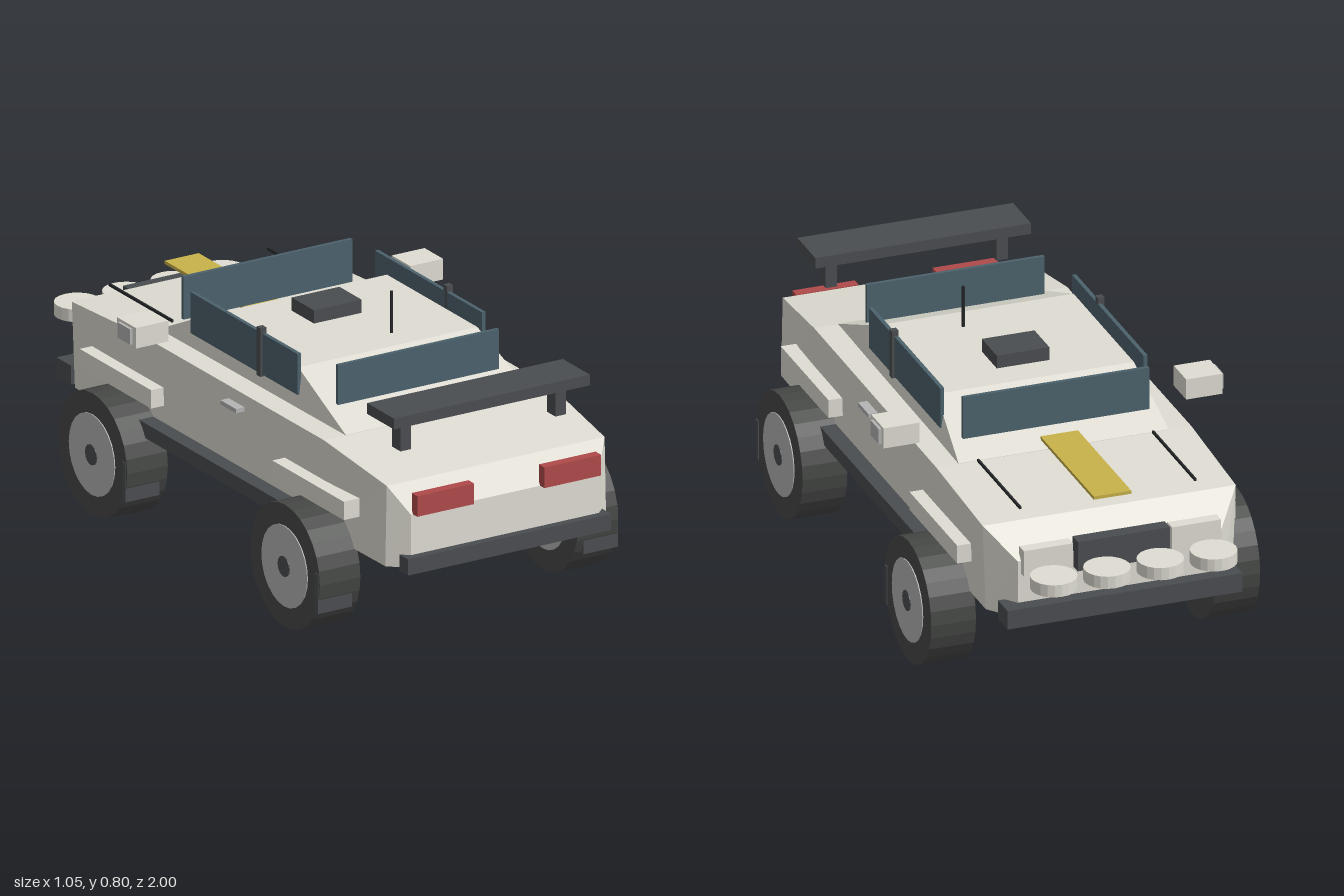
import * as THREE from 'three';

const mat = (color) => new THREE.MeshStandardMaterial({ color, flatShading: true });

export function createModel() {
  const car = new THREE.Group();
  car.name = 'rallyCar';
  const paint = mat(0xdedcd2), dark = mat(0x4a4d50), rubber = mat(0x454745), steel = mat(0xb4b4b4);
  const glass = mat(0x4c626c), red = mat(0xb04a4a), yellow = mat(0xc9b24a), black = mat(0x26282a);

  const add = (name, geometry, material, x = 0, y = 0, z = 0) => {
    const mesh = new THREE.Mesh(geometry, material);
    mesh.name = name;
    mesh.position.set(x, y, z);
    car.add(mesh);
    return mesh;
  };
  // Box given by its extents on each axis
  const box = (name, material, [x0, x1], [y0, y1], [z0, z1]) =>
    add(name, new THREE.BoxGeometry(x1 - x0, y1 - y0, z1 - z0), material,
      (x0 + x1) / 2, (y0 + y1) / 2, (z0 + z1) / 2);
  // The same box on both sides of the car
  const pair = (name, material, [x0, x1], ys, zs) => {
    box(name + 'Left', material, [x0, x1], ys, zs);
    box(name + 'Right', material, [-x1, -x0], ys, zs);
  };

  // Four-sided loft; sections run from high z to low z: [z, top half width, top y, bottom half width, bottom y]
  const loft = (sections) => {
    const rings = sections.map(([z, wt, yt, wb, yb]) =>
      [[-wb, yb, z], [wb, yb, z], [wt, yt, z], [-wt, yt, z]]);
    const p = [];
    const quad = (a, b, c, d) => p.push(...a, ...b, ...c, ...a, ...c, ...d);
    quad(...rings[0]);
    for (let k = 0; k < rings.length - 1; k++) {
      const a = rings[k], b = rings[k + 1];
      for (let i = 0; i < 4; i++) {
        const j = (i + 1) % 4;
        quad(a[i], b[i], b[j], a[j]);
      }
    }
    quad(...[...rings[rings.length - 1]].reverse());
    const g = new THREE.BufferGeometry();
    g.setAttribute('position', new THREE.Float32BufferAttribute(p, 3));
    g.computeVertexNormals();
    return g;
  };

  // Body shell and cabin
  add('body', loft([
    [0.975, 0.315, 0.43, 0.315, 0.268],
    [0.925, 0.365, 0.512, 0.37, 0.268],
    [0.62, 0.385, 0.555, 0.375, 0.268],
    [-0.37, 0.388, 0.555, 0.375, 0.268],
    [-0.735, 0.385, 0.532, 0.375, 0.268],
    [-0.82, 0.31, 0.445, 0.31, 0.268],
  ]), paint);
  add('cabin', loft([
    [0.62, 0.312, 0.556, 0.312, 0.55],
    [0.345, 0.3, 0.67, 0.315, 0.55],
    [-0.14, 0.3, 0.67, 0.318, 0.55],
    [-0.37, 0.32, 0.556, 0.32, 0.55],
  ]), paint);

  // Upright glass panels and door pillars
  box('windscreen', glass, [-0.283, 0.283], [0.6, 0.73], [-0.31, -0.298]);
  box('rearWindow', glass, [-0.27, 0.27], [0.603, 0.724], [0.499, 0.511]);
  pair('sideWindow', glass, [0.303, 0.315], [0.595, 0.72], [-0.21, 0.365]);
  pair('doorPillar', dark, [0.303, 0.323], [0.59, 0.738], [0.158, 0.178]);

  // Roof vent and aerial
  box('roofVent', dark, [-0.08, 0.08], [0.67, 0.71], [-0.043, 0.077]);
  add('aerial', new THREE.CylinderGeometry(0.005, 0.005, 0.15, 8), black, 0.07, 0.721, 0.253);

  // Bonnet stripe and seams
  box('bonnetStripe', yellow, [-0.057, 0.057], [0.571, 0.581], [-0.762, -0.333]);
  pair('bonnetSeam', black, [0.263, 0.269], [0.56, 0.568], [-0.725, -0.385]);

  // Nose
  box('grille', dark, [-0.14, 0.14], [0.4, 0.492], [-0.853, -0.81]);
  pair('headlight', paint, [0.15, 0.3], [0.405, 0.485], [-0.842, -0.805]);
  box('frontBumper', dark, [-0.357, 0.357], [0.257, 0.315], [-0.862, -0.785]);
  for (const x of [-0.243, -0.081, 0.081, 0.243]) {
    add('spotLamp', new THREE.CylinderGeometry(0.068, 0.068, 0.038, 20), paint, x, 0.421, -0.932);
  }

  // Tail
  box('rearBumper', dark, [-0.34, 0.34], [0.258, 0.307], [0.95, 1.0]);
  pair('tailLight', red, [0.118, 0.308], [0.43, 0.493], [0.968, 0.998]);
  box('spoilerWing', dark, [-0.328, 0.328], [0.67, 0.703], [0.76, 0.905]);
  pair('spoilerPost', dark, [0.242, 0.277], [0.577, 0.67], [0.812, 0.858]);

  // Sides
  pair('sideSkirt', dark, [0.37, 0.425], [0.275, 0.32], [-0.32, 0.48]);
  pair('doorHandle', steel, [0.38, 0.413], [0.502, 0.515], [0.108, 0.192]);
  pair('mirrorHousing', paint, [0.405, 0.515], [0.597, 0.66], [-0.283, -0.183]);
  pair('mirrorCap', steel, [0.51, 0.524], [0.605, 0.652], [-0.268, -0.2]);

  // Wheels, with a flare above and a mud flap behind each
  const disc = (name, r, width, material, x, z, n) => {
    add(name, new THREE.CylinderGeometry(r, r, width, n), material, x, 0.187, z).rotation.z = Math.PI / 2;
  };
  for (const [end, z] of [['front', -0.44], ['rear', 0.595]]) {
    for (const s of [1, -1]) {
      disc(end + 'Tyre', 0.187, 0.136, rubber, s * 0.432, z, 28);
      disc(end + 'Rim', 0.123, 0.14, steel, s * 0.433, z, 24);
      disc(end + 'HubCap', 0.031, 0.144, dark, s * 0.434, z, 14);
    }
    pair(end + 'Flare', paint, [0.37, 0.423], [0.374, 0.43], [z - 0.192, z + 0.192]);
    pair(end + 'MudFlap', dark, [0.388, 0.503], [0.1, 0.22], [z + 0.163, z + 0.181]);
  }
  return car;
}
